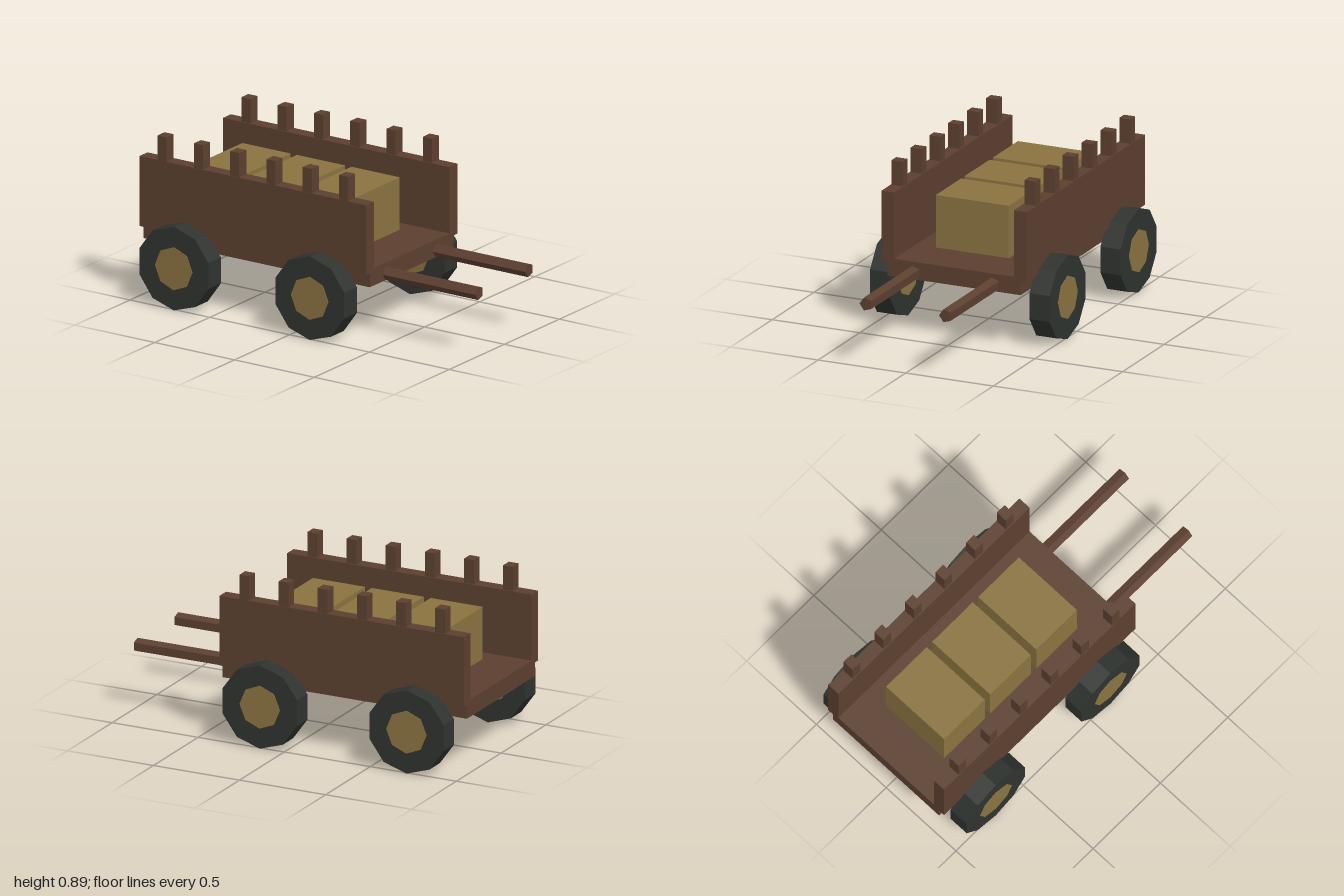
import * as THREE from 'three';

const mat = (color) => new THREE.MeshStandardMaterial({ color, flatShading: true });

export function createModel() {
  const cart = new THREE.Group();
  cart.name = 'cart';
  const wood = mat(0x5c4030), tyreMat = mat(0x2f332f), straw = mat(0x8a7340);

  const add = (parent, name, geometry, material, x, y, z) => {
    const mesh = new THREE.Mesh(geometry, material);
    mesh.name = name;
    mesh.position.set(x, y, z);
    parent.add(mesh);
    return mesh;
  };

  // Flat bed
  add(cart, 'bed', new THREE.BoxGeometry(1.42, 0.095, 0.76), wood, -0.29, 0.3525, 0);

  // Straw bales in a row
  const baleGeo = new THREE.BoxGeometry(0.302, 0.285, 0.416);
  for (let i = 0; i < 3; i++) add(cart, 'bale', baleGeo, straw, -0.634 + i * 0.342, 0.5585, 0);

  const wallGeo = new THREE.BoxGeometry(1.42, 0.38, 0.073);
  const postGeo = new THREE.BoxGeometry(0.057, 0.18, 0.064);
  const shaftGeo = new THREE.CylinderGeometry(0.037, 0.037, 0.6, 5).rotateZ(-Math.PI / 2);
  const tyreGeo = new THREE.CylinderGeometry(0.227, 0.227, 0.115, 10).rotateX(Math.PI / 2);
  const hubGeo = new THREE.CylinderGeometry(0.117, 0.117, 0.121, 8).rotateX(Math.PI / 2);

  for (const side of [1, -1]) {
    // Side wall with a row of posts on its top edge
    add(cart, 'sideWall', wallGeo, wood, -0.29, 0.57, side * 0.3785);
    for (let i = 0; i < 6; i++) add(cart, 'post', postGeo, wood, -0.86 + i * 0.2275, 0.802, side * 0.38);

    // Pulling shaft, set into the end of the bed
    add(cart, 'shaft', shaftGeo, wood, 0.7, 0.342, side * 0.227);

    // Wheels
    for (const x of [-0.717, 0.135]) {
      const wheel = new THREE.Group();
      wheel.name = 'wheel';
      wheel.position.set(x, 0.228, side * 0.455);
      add(wheel, 'tyre', tyreGeo, tyreMat, 0, 0, 0);
      add(wheel, 'hub', hubGeo, straw, 0, 0, 0);
      cart.add(wheel);
    }
  }
  return cart;
}
